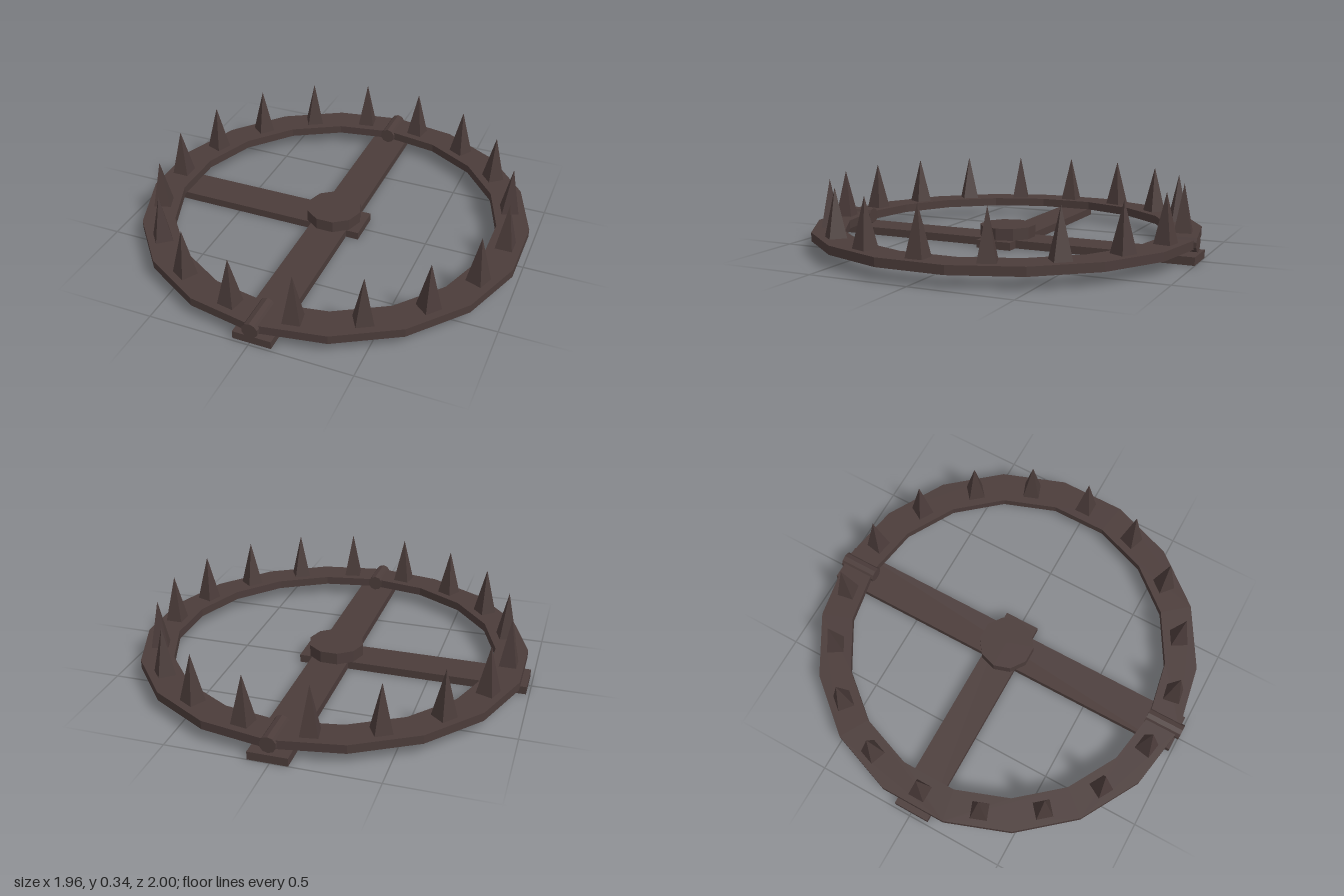
import * as THREE from 'three';

export function createModel() {
  const model = new THREE.Group();
  const iron = new THREE.MeshStandardMaterial({ color: 0x4b3c3a, flatShading: true });
  iron.name = 'darkIron';
  const CX = 0.01; // ring centre on x

  function add(name, geometry, x, y, z, parent = model) {
    const mesh = new THREE.Mesh(geometry, iron);
    mesh.name = name;
    mesh.position.set(x, y, z);
    parent.add(mesh);
    return mesh;
  }

  // Flat base bars
  add('longBar', new THREE.BoxGeometry(0.19, 0.04, 1.985), 0.01, 0.02, -0.007);
  add('crossBar', new THREE.BoxGeometry(1.155, 0.04, 0.185), -0.407, 0.02, 0.002);

  // Ten-sided trigger plate, corners on the x axis
  const plate = new THREE.CylinderGeometry(0.142, 0.142, 0.06, 10).rotateY(Math.PI / 2);
  add('triggerPlate', plate, 0.003, 0.07, 0);

  // Eighteen-sided ring with a flat side towards +x and -x
  const polygon = (r) => Array.from({ length: 18 }, (_, i) => {
    const a = (i * 20 + 10) * Math.PI / 180;
    return new THREE.Vector2(r * Math.cos(a), r * Math.sin(a));
  });
  const outline = new THREE.Shape(polygon(0.983));
  outline.holes.push(new THREE.Path(polygon(0.82)));
  const ring = new THREE.ExtrudeGeometry(outline, { depth: 0.043, bevelEnabled: false });
  ring.rotateX(-Math.PI / 2);
  add('jawRing', ring, CX + 0.002, 0.063, 0);

  // Hinge pins at front and back
  const pin = new THREE.CylinderGeometry(0.04, 0.04, 0.19, 10).rotateX(Math.PI / 2);
  add('frontHingePin', pin, CX, 0.085, 0.905);
  add('backHingePin', pin, CX, 0.085, -0.895);

  // Four-sided teeth, turned to face outwards
  const tooth = new THREE.ConeGeometry(0.087 / Math.SQRT2, 0.245, 4).rotateY(Math.PI / 4);
  const teeth = new THREE.Group();
  teeth.name = 'teeth';
  model.add(teeth);
  for (let i = 0; i < 18; i++) {
    const a = i * 20 * Math.PI / 180;
    const mesh = add('tooth', tooth, CX + 0.89 * Math.cos(a), 0.2225, -0.89 * Math.sin(a), teeth);
    mesh.rotation.y = a;
  }

  return model;
}
